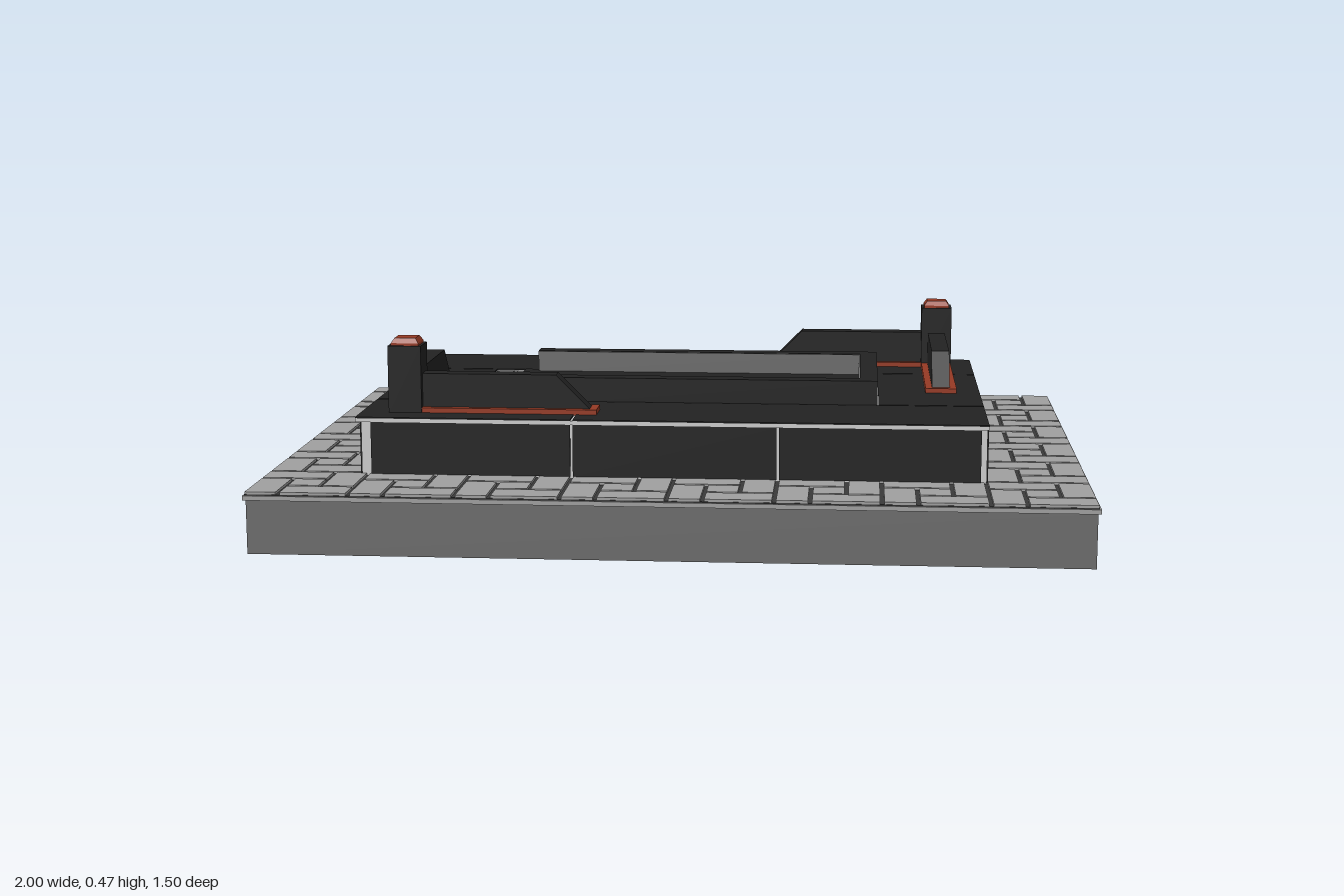
import * as THREE from 'three';

const mat = (name, color) => {
  const m = new THREE.MeshStandardMaterial({ color });
  m.name = name;
  return m;
};

export function createModel() {
  const model = new THREE.Group();
  model.name = 'monument';
  const granite = mat('blackGranite', 0x222222);
  const concrete = mat('concreteGrey', 0x6c6c6c);
  const paverGrey = mat('paverGrey', 0xa0a0a0);
  const mortarGrey = mat('mortarGrey', 0x3a3a3a);
  const jointGrey = mat('jointGrey', 0xcccccc);
  const copper = mat('copperRed', 0x963a24);

  // Box given by its minimum and maximum on each axis
  const box = (name, material, x0, x1, y0, y1, z0, z1, parent = model) => {
    const mesh = new THREE.Mesh(new THREE.BoxGeometry(x1 - x0, y1 - y0, z1 - z0), material);
    mesh.position.set((x0 + x1) / 2, (y0 + y1) / 2, (z0 + z1) / 2);
    mesh.name = name;
    parent.add(mesh);
    return mesh;
  };

  // Pinwheel paving in 3 x 3 blocks, clipped to a rectangle
  const unit = 0.25 / 3, gap = 0.005;
  const bricks = [[0, 0, 2, 1], [2, 0, 1, 2], [1, 2, 2, 1], [0, 1, 1, 2], [1, 1, 1, 1]];
  const paving = (name, x0, x1, z0, z1, y0, y1) => {
    const group = new THREE.Group();
    group.name = name;
    model.add(group);
    for (let i = 0; i < 8; i++) for (let j = 0; j < 6; j++) {
      for (const [u, v, w, d] of bricks) {
        const bx = -1 + i * 0.25 + u * unit, bz = -0.75 + j * 0.25 + v * unit;
        const ax = Math.max(bx + gap, x0), cx = Math.min(bx + w * unit - gap, x1);
        const az = Math.max(bz + gap, z0), cz = Math.min(bz + d * unit - gap, z1);
        if (cx - ax > 0.01 && cz - az > 0.01) box('paver', paverGrey, ax, cx, y0, y1, az, cz, group);
      }
    }
  };

  // Foundation and paved surround
  box('foundation', concrete, -0.993, 0.993, 0, 0.13, -0.745, 0.745);
  box('pavingEdge', paverGrey, -1, 1, 0.13, 0.141, -0.75, 0.75);
  box('pavingMortar', mortarGrey, -0.996, 0.996, 0.141, 0.144, -0.746, 0.746);
  paving('pavers', -1, 1, -0.75, 0.75, 0.141, 0.15);

  // Plinth core with dark cladding panels on all sides
  const px0 = -0.765, px1 = 0.75, pz0 = -0.5, pz1 = 0.51;
  box('plinthCore', jointGrey, px0, px1, 0.145, 0.28, pz0, pz1);
  const cuts = [-0.745, -0.25, 0.25, 0.74];
  for (let i = 0; i < 3; i++) {
    const a = cuts[i] + 0.003, b = cuts[i + 1] - 0.003;
    box('frontPanel', granite, a, b, 0.15, 0.278, pz1, pz1 + 0.005);
    box('backPanel', granite, a, b, 0.15, 0.278, pz0 - 0.005, pz0);
  }
  for (const [a, b] of [[pz0, -0.003], [0.003, pz1]]) {
    box('leftPanel', granite, px1, px1 + 0.004, 0.15, 0.278, a, b);
    box('rightPanel', granite, px0 - 0.004, px0, 0.15, 0.278, a, b);
  }

  // Cover slabs around the central bed, dark on top with pale edges
  const slabs = [
    [-0.78, -0.25, -0.515, -0.25], [-0.25, 0.755, -0.515, -0.25],
    [-0.78, -0.25, 0.25, 0.515], [-0.25, 0.755, 0.25, 0.515],
    [-0.78, -0.55, -0.25, 0.25], [0.49, 0.755, -0.25, 0.25],
  ];
  for (const [x0, x1, z0, z1] of slabs) {
    box('coverSlab', jointGrey, x0, x1, 0.278, 0.287, z0, z1);
    const inX0 = x0 < -0.7 ? 0 : 0.003, inX1 = x1 > 0.7 ? 0 : 0.003;
    const inZ0 = z0 < -0.5 ? 0 : 0.003, inZ1 = z1 > 0.5 ? 0 : 0.003;
    box('coverSlabTop', granite, x0 + inX0, x1 - inX1, 0.287, 0.29, z0 + inZ0, z1 - inZ1);
  }

  // Paved strip at the open end of the bed
  box('stripMortar', mortarGrey, -0.55, -0.42, 0.275, 0.282, -0.25, 0.25);
  paving('stripPavers', -0.545, -0.42, -0.245, 0.245, 0.28, 0.287);

  // Bed: floor with a raised rim on three sides
  box('bedFloor', granite, -0.47, 0.46, 0.275, 0.295, -0.23, 0.23);
  for (const s of [-1, 1]) {
    box('bedSideRim', granite, -0.43, 0.49, 0.275, 0.35, s * 0.225 - 0.023, s * 0.225 + 0.023);
    box('rimLining', concrete, -0.43, 0.445, 0.295, 0.349, s * 0.2 - 0.003, s * 0.2 + 0.003);
  }
  box('bedEndRim', granite, 0.445, 0.49, 0.275, 0.35, -0.248, 0.248);
  box('endRimLining', concrete, 0.442, 0.446, 0.295, 0.349, -0.2, 0.2);

  // Low wall with a sloping end, running along +x from its post
  const lowWall = () => {
    const wall = new THREE.Group();
    wall.name = 'lowWall';
    const profile = new THREE.Shape([[0, 0.29], [0.455, 0.29], [0.455, 0.302], [0.372, 0.385], [0, 0.385]]
      .map(([x, y]) => new THREE.Vector2(x, y)));
    const geo = new THREE.ExtrudeGeometry(profile, { depth: 0.046, bevelEnabled: false });
    geo.translate(0, 0, -0.023);
    const body = new THREE.Mesh(geo, granite);
    body.name = 'wallBody';
    wall.add(body);
    box('wallTrim', copper, -0.04, 0.473, 0.288, 0.302, -0.04, 0.04, wall);
    return wall;
  };

  // Corner post with a tapered cap and two walls
  const corner = (name, x, z, turn) => {
    const group = new THREE.Group();
    group.name = name;
    const along = lowWall(), across = lowWall();
    across.rotation.y = Math.PI / 2;
    group.add(along, across);
    box('post', granite, -0.041, 0.041, 0.285, 0.455, -0.041, 0.041, group);
    const capGeo = new THREE.CylinderGeometry(0.026 * Math.SQRT2, 0.034 * Math.SQRT2, 0.012, 4).toNonIndexed();
    capGeo.rotateY(Math.PI / 4);
    capGeo.computeVertexNormals();
    const cap = new THREE.Mesh(capGeo, copper);
    cap.name = 'postCapTop';
    cap.position.y = 0.467;
    group.add(cap);
    box('postCapBase', copper, -0.034, 0.034, 0.454, 0.461, -0.034, 0.034, group);
    group.position.set(x, 0, z);
    group.rotation.y = turn;
    model.add(group);
  };
  corner('frontRightCorner', -0.67, 0.403, 0);
  corner('backLeftCorner', 0.655, -0.413, Math.PI);

  return model;
}
